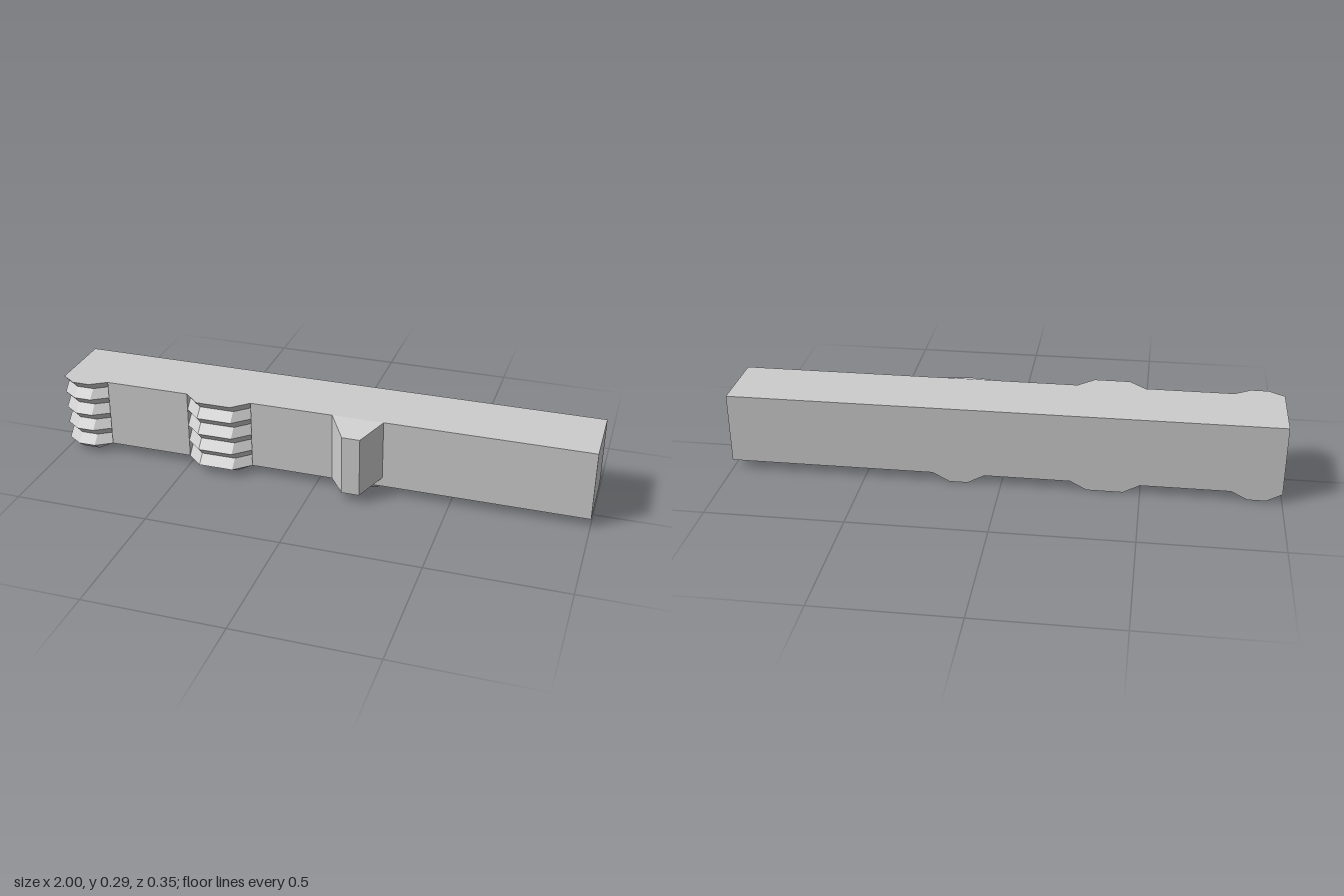
import * as THREE from 'three';

const BACK = -0.173, FRONT = 0.087, BOTTOM = 0.035, TOP = 0.295;
const TEETH = 8, STEP = 0.26 / TEETH; // half-pitch and depth of the serration

const material = new THREE.MeshStandardMaterial({ color: 0xcccccc, flatShading: true });

function addMesh(group, name, geometry) {
  const mesh = new THREE.Mesh(geometry, material);
  mesh.name = name;
  group.add(mesh);
}

// Skin closed [z, y] profiles placed at successive x stations
function loft(xs, profiles) {
  const pos = [];
  const tri = (...pts) => {
    const [a, b, c] = pts.map((p) => new THREE.Vector3(...p));
    if (new THREE.Triangle(a, b, c).getArea() > 1e-7) pts.forEach((p) => pos.push(...p));
  };
  for (let s = 0; s < xs.length - 1; s++) {
    const n = profiles[s].length;
    for (let i = 0; i < n; i++) {
      const at = (k, j) => [xs[k], profiles[k][j % n][1], profiles[k][j % n][0]];
      const a = at(s, i), b = at(s, i + 1), c = at(s + 1, i + 1), d = at(s + 1, i);
      tri(a, d, c);
      tri(a, c, b);
    }
  }
  const g = new THREE.BufferGeometry();
  g.setAttribute('position', new THREE.Float32BufferAttribute(pos, 3));
  g.computeVertexNormals();
  return g;
}

// Zigzag teeth along the underside, then up the front face
function toothedProfile(under, out) {
  const p = [];
  for (let i = 0; i <= TEETH; i++) p.push([BACK + i * STEP, BOTTOM - under + (i % 2) * STEP]);
  for (let i = 0; i <= TEETH; i++) p.push([FRONT + out - (i % 2) * STEP, BOTTOM + i * STEP]);
  p.push([BACK, TOP]);
  return p;
}

function toothedPad(xs, under, out) {
  const flat = toothedProfile(0, 0), raised = toothedProfile(under, out);
  return loft(xs, [flat, raised, raised, flat]);
}

export function createModel() {
  const group = new THREE.Group();

  // Plain lengths of the bar between the raised sections
  [[-0.82, -0.5], [-0.25, 0.06], [0.25, 1]].forEach(([a, b], i) => {
    const g = new THREE.BoxGeometry(b - a, TOP - BOTTOM, FRONT - BACK);
    g.translate((a + b) / 2, (TOP + BOTTOM) / 2, (FRONT + BACK) / 2);
    addMesh(group, `barSection${i + 1}`, g);
  });

  // Serrated pads
  addMesh(group, 'endToothedPad', toothedPad([-1, -0.945, -0.88, -0.82], 0.03, 0.038));
  addMesh(group, 'middleToothedPad', toothedPad([-0.5, -0.44, -0.31, -0.25], 0.032, 0.055));

  // End face of the bar, following the teeth
  const endShape = new THREE.Shape(toothedProfile(0, 0).map(([z, y]) => new THREE.Vector2(z, y)));
  const end = new THREE.ShapeGeometry(endShape);
  end.rotateY(-Math.PI / 2);
  end.translate(-1, 0, 0);
  addMesh(group, 'endFace', end);

  // Smooth tapered lug wrapping front and underside
  const base = [[BACK, BOTTOM], [0.055, BOTTOM], [FRONT, BOTTOM], [FRONT, 0.07],
    [FRONT, TOP], [FRONT, TOP], [BACK, TOP]];
  const crest = [[BACK, 0.002], [0.055, 0.002], [FRONT, BOTTOM], [0.175, BOTTOM],
    [0.175, 0.26], [FRONT, TOP], [BACK, TOP]];
  addMesh(group, 'taperedLug', loft([0.06, 0.122, 0.188, 0.25], [base, crest, crest, base]));

  return group;
}
